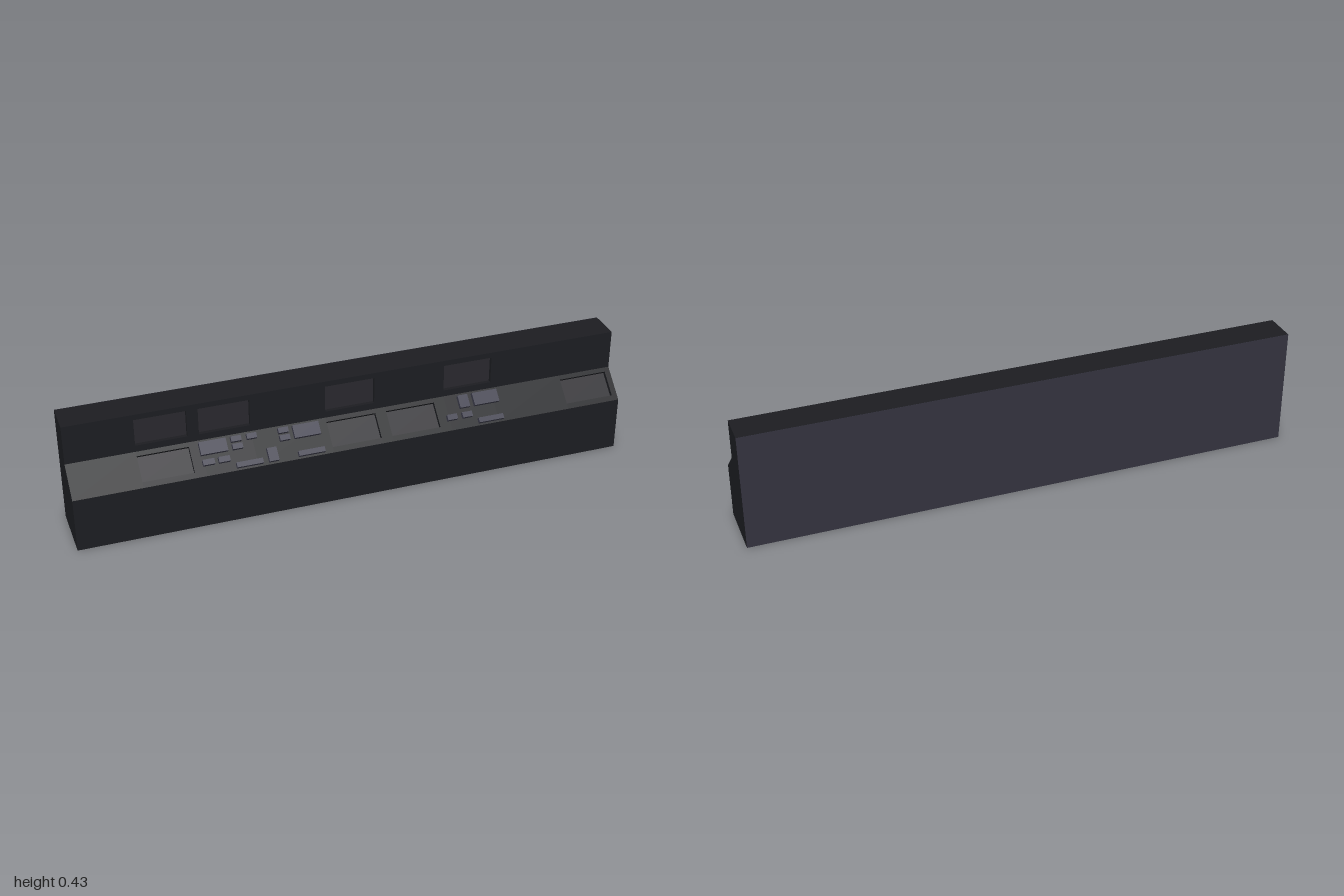
import * as THREE from 'three';

const material = (color) => new THREE.MeshStandardMaterial({ color });
const bodyMat = material(0x1c1d21);
const screenMat = material(0x29282d);
const buttonMat = material(0x3d3d4c);
const backMat = material(0x33323e);

// Cross-section of the console as [z, y], and the tilt of its desk
const FRONT = 0.107, BACK = -0.106, WALL = 0.012;
const DESK_LOW = 0.2, DESK_HIGH = 0.286, TOP = 0.43;
const DEPTH = 0.015;
const tilt = Math.atan2(WALL - FRONT, DESK_HIGH - DESK_LOW);

// Recesses: screen width and left edges, spans up the wall and along the desk
const SCREEN_W = 0.18;
const wallScreens = [-0.76, -0.54, -0.09, 0.35];
const deskScreens = [-0.76, -0.09, 0.13, 0.8];
const wallSpan = [0.31, 0.41];
const deskSpan = [0.02, 0.112];

// Point on the desk: s along the slope, h below its surface
const deskPoint = (s, h = 0) => [
  FRONT + s * Math.sin(tilt) - h * Math.cos(tilt),
  DESK_LOW + s * Math.cos(tilt) + h * Math.sin(tilt),
];

function profile(hasDesk, hasWall) {
  const points = [[BACK, 0], [FRONT, 0], [FRONT, DESK_LOW]];
  if (hasDesk) {
    const [a, b] = deskSpan;
    points.push(deskPoint(a), deskPoint(a, DEPTH), deskPoint(b, DEPTH), deskPoint(b));
  }
  points.push([WALL, DESK_HIGH]);
  if (hasWall) {
    const [a, b] = wallSpan;
    points.push([WALL, a], [WALL - DEPTH, a], [WALL - DEPTH, b], [WALL, b]);
  }
  points.push([WALL, TOP], [BACK, TOP]);
  return new THREE.Shape(points.map(([z, y]) => new THREE.Vector2(z, y)));
}

function addBox(parent, name, mat, size, position) {
  const mesh = new THREE.Mesh(new THREE.BoxGeometry(...size), mat);
  mesh.name = name;
  mesh.position.set(...position);
  parent.add(mesh);
  return mesh;
}

export function createModel() {
  const model = new THREE.Group();
  model.name = 'controlConsole';

  // Body: slabs side by side, notched wherever a screen is sunk in
  const body = new THREE.Group();
  body.name = 'body';
  model.add(body);
  const edges = [-1, 1];
  for (const x of [...wallScreens, ...deskScreens]) edges.push(x, x + SCREEN_W);
  const cuts = edges.map((x) => +x.toFixed(3)).sort((a, b) => a - b)
    .filter((x, i, all) => i === 0 || x > all[i - 1]);
  for (let i = 0; i + 1 < cuts.length; i++) {
    const [x0, x1] = [cuts[i], cuts[i + 1]];
    const mid = (x0 + x1) / 2;
    const inside = (list) => list.some((x) => mid > x && mid < x + SCREEN_W);
    const geometry = new THREE.ExtrudeGeometry(
      profile(inside(deskScreens), inside(wallScreens)),
      { depth: x1 - x0, bevelEnabled: false },
    );
    geometry.translate(0, 0, -x1).rotateY(-Math.PI / 2);
    const slab = new THREE.Mesh(geometry, bodyMat);
    slab.name = 'bodySection';
    body.add(slab);
  }
  addBox(model, 'backPanel', backMat, [2, TOP, 0.001], [0, TOP / 2, BACK - 0.0005]);

  // Screens on the upright wall
  const wallH = wallSpan[1] - wallSpan[0];
  for (const x of wallScreens) {
    addBox(model, 'wallScreen', screenMat, [SCREEN_W, wallH, 0.002],
      [x + SCREEN_W / 2, wallSpan[0] + wallH / 2, WALL - DEPTH]);
  }

  // Desk frame: y runs up the slope, z points out of it
  const desk = new THREE.Group();
  desk.name = 'desk';
  desk.position.set(0, DESK_LOW, FRONT);
  desk.rotation.x = tilt;
  model.add(desk);
  const deskH = deskSpan[1] - deskSpan[0];
  for (const x of deskScreens) {
    addBox(desk, 'deskScreen', screenMat, [SCREEN_W, deskH, 0.002],
      [x + SCREEN_W / 2, deskSpan[0] + deskH / 2, -DEPTH]);
  }

  // Raised controls: [x from, x to, slope from, slope to]
  const controls = [
    // left cluster
    [-0.548, -0.453, 0.072, 0.118],
    [-0.548, -0.507, 0.035, 0.055],
    [-0.493, -0.453, 0.035, 0.055],
    [-0.436, -0.4, 0.072, 0.091],
    [-0.436, -0.4, 0.099, 0.118],
    [-0.38, -0.345, 0.099, 0.118],
    [-0.436, -0.343, 0.007, 0.025],
    [-0.322, -0.288, 0.007, 0.055],
    // middle cluster
    [-0.268, -0.232, 0.099, 0.118],
    [-0.268, -0.232, 0.072, 0.091],
    [-0.216, -0.122, 0.072, 0.118],
    [-0.216, -0.122, 0.007, 0.025],
    // right cluster
    [0.34, 0.377, 0.035, 0.055],
    [0.397, 0.434, 0.035, 0.055],
    [0.397, 0.434, 0.072, 0.118],
    [0.452, 0.546, 0.072, 0.118],
    [0.452, 0.546, 0.007, 0.025],
  ];
  for (const [x0, x1, s0, s1] of controls) {
    addBox(desk, 'button', buttonMat, [x1 - x0, s1 - s0, 0.018],
      [(x0 + x1) / 2, (s0 + s1) / 2, 0.006]);
  }
  return model;
}
